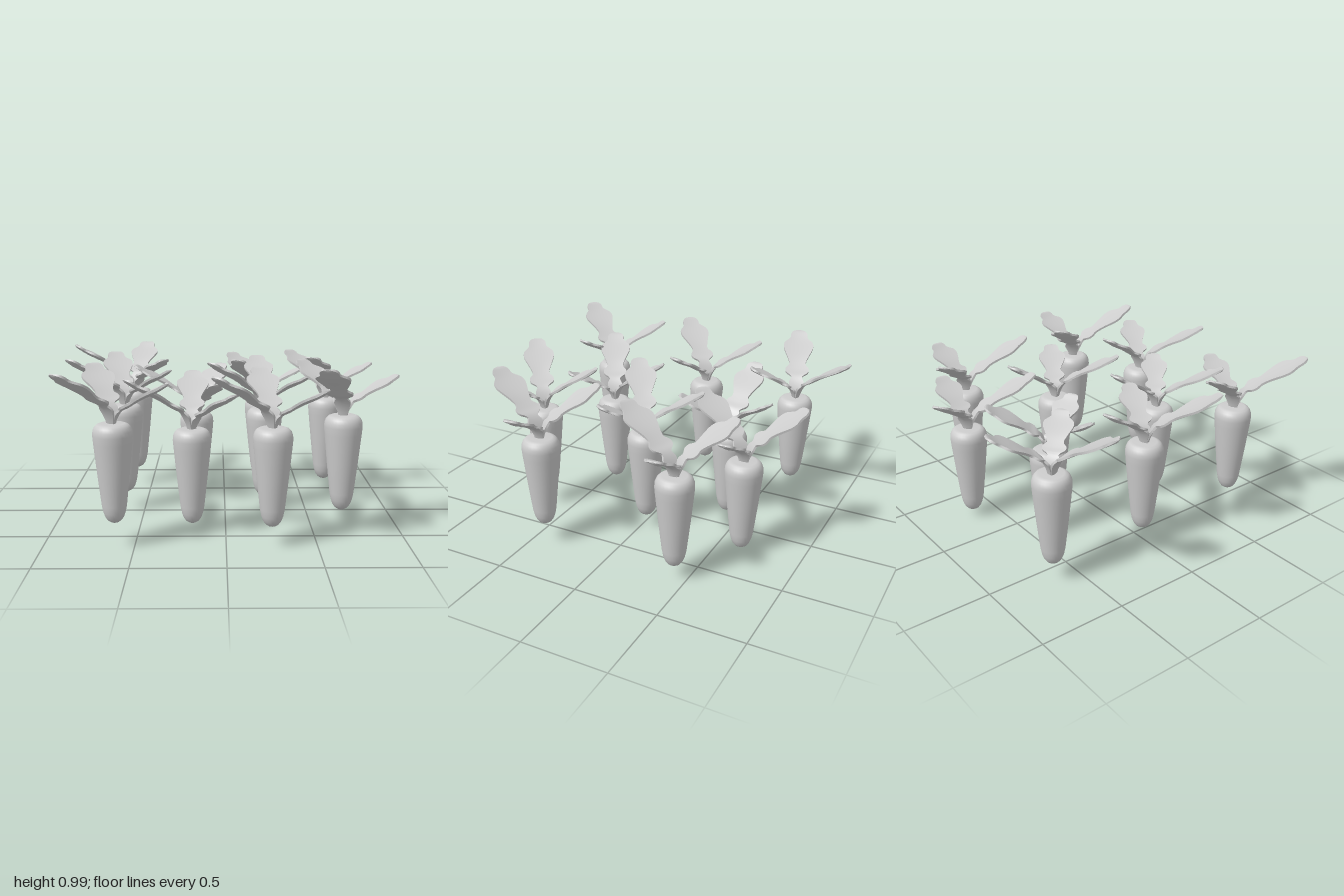
import * as THREE from 'three';
import { toCreasedNormals } from 'three/addons/utils/BufferGeometryUtils.js';

const v2 = (p) => new THREE.Vector2(p[0], p[1]);

// Tapered root with a rounded tip and shoulder, 0.55 tall
function rootGeometry() {
  const profile = [
    [0, 0], [0.02, 0.004], [0.037, 0.015], [0.05, 0.033], [0.06, 0.06], [0.068, 0.1],
    [0.088, 0.28], [0.104, 0.44], [0.108, 0.485], [0.106, 0.51], [0.098, 0.53],
    [0.086, 0.543], [0.068, 0.55], [0, 0.55],
  ];
  return new THREE.LatheGeometry(profile.map(v2), 32);
}

// Lobed leaf: half widths along its run, in fractions of the reach
const outline = new THREE.SplineCurve([
  [0, 0.022], [0.08, 0.045], [0.14, 0.032], [0.2, 0.066], [0.28, 0.07], [0.35, 0.05],
  [0.42, 0.055], [0.52, 0.072], [0.64, 0.09], [0.74, 0.088], [0.82, 0.062], [0.86, 0.052],
  [0.92, 0.05], [0.97, 0.034], [1, 0.002],
].map(v2));

// Rising centre line: steep at the base, flatter outside, lifting at the tip
const rise = new THREE.SplineCurve([
  [0.03, -0.04], [0.07, 0.14], [0.16, 0.33], [0.29, 0.43], [0.5, 0.61], [0.8, 0.82], [1, 1],
].map(v2));

function leafGeometry(reach, height, widthScale) {
  const rings = 44, sides = 6, positions = [], index = [];
  for (let i = 0; i <= rings; i++) {
    const t = i / rings;
    const o = outline.getPoint(t);
    // find the centre line point at the same fraction of the reach
    let lo = 0, hi = 1;
    for (let k = 0; k < 20; k++) {
      const mid = (lo + hi) / 2;
      if (rise.getPoint(mid).x < 0.03 + 0.97 * o.x) lo = mid; else hi = mid;
    }
    const c = rise.getPoint(lo), d = rise.getTangent(lo);
    const tangent = new THREE.Vector2(d.x * reach, d.y * height).normalize();
    const w = o.y * widthScale;
    const h = 0.009 * Math.min(1, (1 - t) * 12 + 0.1);
    const fold = w * 0.14;
    const section = [[-w, fold + h * 0.7], [0, h], [w, fold + h * 0.7],
      [w, fold - h * 0.7], [0, -h], [-w, fold - h * 0.7]];
    for (const [side, up] of section) {
      positions.push(c.x * reach - tangent.y * up, c.y * height + tangent.x * up, side);
    }
  }
  for (let i = 0; i < rings; i++) {
    for (let j = 0; j < sides; j++) {
      const a = i * sides + j, b = i * sides + (j + 1) % sides;
      index.push(a, b, a + sides, b, b + sides, a + sides);
    }
  }
  const geometry = new THREE.BufferGeometry();
  geometry.setAttribute('position', new THREE.Float32BufferAttribute(positions, 3));
  geometry.setIndex(index);
  return toCreasedNormals(geometry, 0.7);
}

export function createModel() {
  const paleGrey = new THREE.MeshStandardMaterial({ color: 0xcccccc });
  paleGrey.name = 'pale grey';

  const root = rootGeometry();
  const leaves = [
    { name: 'middleLeaf', angle: -90, geometry: leafGeometry(0.35, 0.28, 1) },
    { name: 'shortLeaf', angle: 36, geometry: leafGeometry(0.31, 0.22, 0.9) },
    { name: 'longLeaf', angle: 152, geometry: leafGeometry(0.405, 0.305, 1.02) },
  ];

  // x, z, bottom height, turn in degrees
  const plants = [
    [-0.595, -0.65, 0.115, 10], [0.25, -0.655, 0.045, -36],
    [-0.18, -0.385, 0, 29], [0.66, -0.43, 0.09, -42],
    [-0.61, -0.035, 0.115, -15], [0.24, -0.035, 0.09, -6],
    [-0.19, 0.42, 0.055, 0], [0.66, 0.41, 0.13, -41],
    [-0.605, 0.66, 0.135, -24], [0.25, 0.66, 0.11, -11],
  ];

  const group = new THREE.Group();
  group.name = 'carrotPatch';
  plants.forEach(([x, z, y, turn], i) => {
    const plant = new THREE.Group();
    plant.name = `carrot${i + 1}`;
    plant.position.set(x, y, z);
    plant.rotation.y = -THREE.MathUtils.degToRad(turn);
    const body = new THREE.Mesh(root, paleGrey);
    body.name = 'root';
    plant.add(body);
    for (const leaf of leaves) {
      const mesh = new THREE.Mesh(leaf.geometry, paleGrey);
      mesh.name = leaf.name;
      mesh.position.y = 0.55;
      mesh.rotation.y = -THREE.MathUtils.degToRad(leaf.angle);
      plant.add(mesh);
    }
    group.add(plant);
  });
  return group;
}
